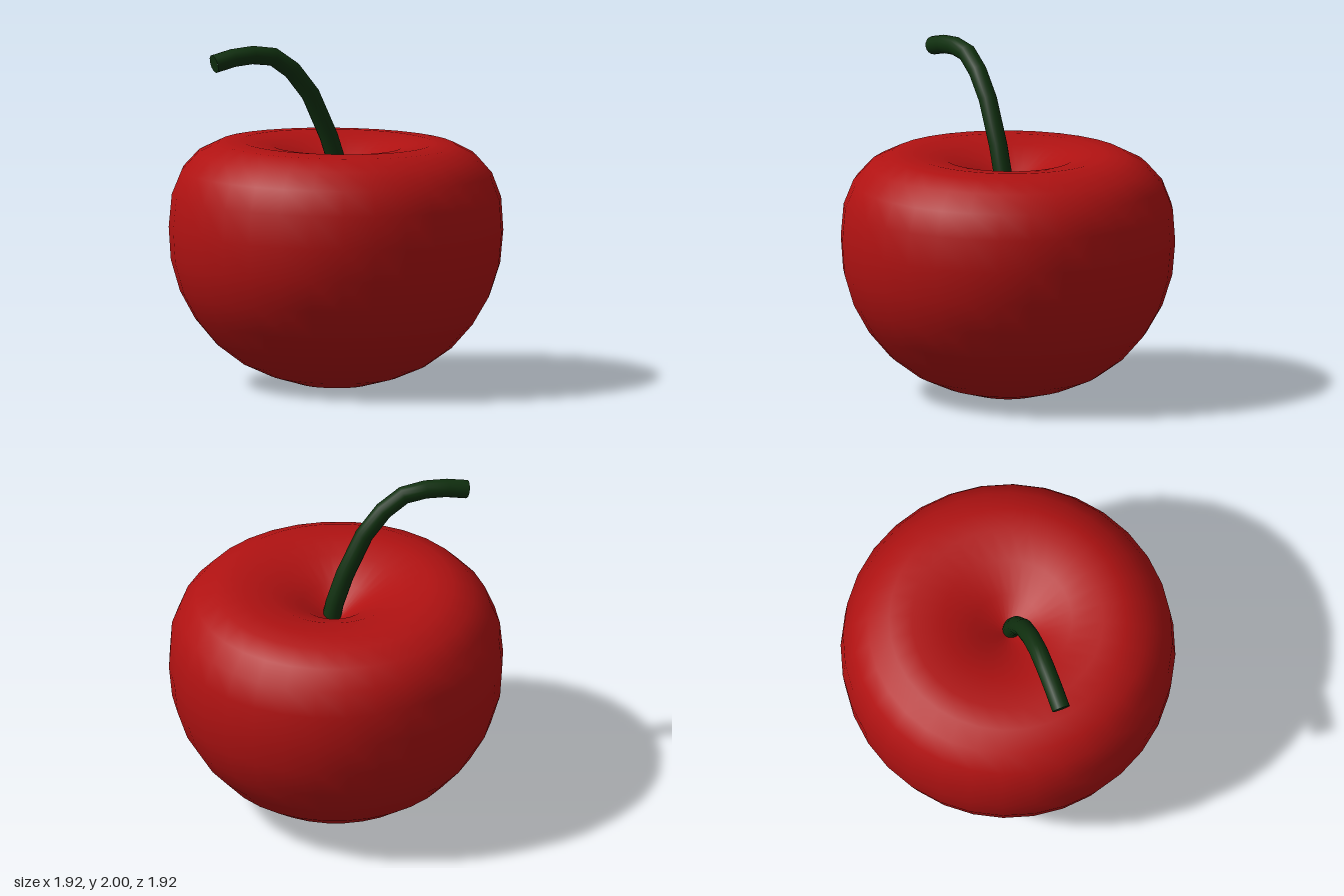
import * as THREE from 'three';

const RED = new THREE.MeshStandardMaterial({ color: 0xb01212 });
const GREEN = new THREE.MeshStandardMaterial({ color: 0x10300f });

// Round fruit: lathed profile with a dimple at the top, leaning slightly
function makeFruit() {
  const centreY = 0.91;
  const profile = [
    [0, 0.005], [0.19, 0.01], [0.37, 0.06], [0.53, 0.13], [0.68, 0.24], [0.8, 0.38],
    [0.89, 0.54], [0.945, 0.72], [0.96, 0.91], [0.945, 1.1], [0.89, 1.24], [0.8, 1.34],
    [0.68, 1.4], [0.55, 1.41], [0.37, 1.385], [0.19, 1.3], [0, 1.16],
  ].map(([r, y]) => new THREE.Vector2(r, y - centreY));
  const fruit = new THREE.Mesh(new THREE.LatheGeometry(profile, 32), RED);
  fruit.name = 'fruit';
  fruit.position.y = centreY;
  fruit.rotation.z = -0.016;
  return fruit;
}

// Curved stem: tube with a ring at each path point, closed at both ends
function makeStem() {
  const radius = 0.053;
  const sides = 16;
  const points = [
    [0.035, 1.1], [0, 1.27], [-0.06, 1.45], [-0.175, 1.7], [-0.29, 1.845],
    [-0.41, 1.93], [-0.54, 1.948], [-0.665, 1.938], [-0.785, 1.91],
  ].map(([x, y]) => new THREE.Vector3(x, y, 0.03));
  const path = new THREE.CatmullRomCurve3(points);
  path.getPointAt = path.getPoint;
  path.getTangentAt = path.getTangent;

  const stem = new THREE.Group();
  stem.name = 'stem';
  const tube = new THREE.Mesh(new THREE.TubeGeometry(path, points.length - 1, radius, sides), GREEN);
  tube.name = 'stemTube';
  stem.add(tube);

  for (const [name, t, dir] of [['stemBase', 0, -1], ['stemTip', 1, 1]]) {
    const cap = new THREE.Mesh(new THREE.CircleGeometry(radius, sides), GREEN);
    cap.name = name;
    cap.position.copy(path.getPoint(t));
    const normal = path.getTangent(t).multiplyScalar(dir);
    cap.quaternion.setFromUnitVectors(new THREE.Vector3(0, 0, 1), normal);
    stem.add(cap);
  }
  return stem;
}

export function createModel() {
  const model = new THREE.Group();
  model.name = 'cherry';
  model.add(makeFruit(), makeStem());
  return model;
}
